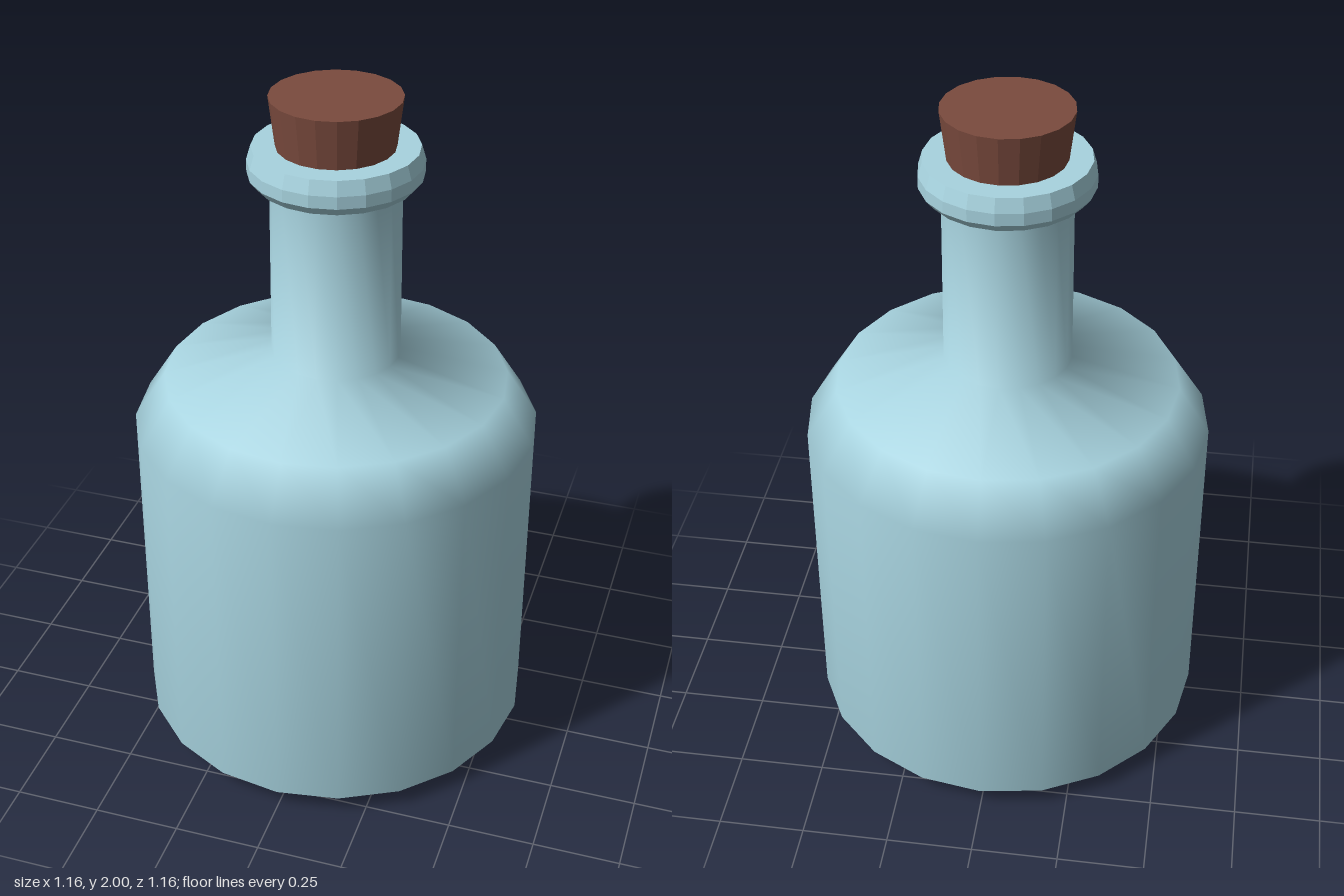
import * as THREE from 'three';

const SIDES = 20;

// Turned part from [radius, height] pairs, listed bottom to top
function turned(name, points, material) {
  const profile = points.map(([r, y]) => new THREE.Vector2(r, y));
  const mesh = new THREE.Mesh(new THREE.LatheGeometry(profile, SIDES), material);
  mesh.name = name;
  return mesh;
}

export function createModel() {
  const glass = new THREE.MeshStandardMaterial({ color: 0xa8d4e0 });
  const facetedGlass = new THREE.MeshStandardMaterial({ color: 0xa8d4e0, flatShading: true });
  const corkBrown = new THREE.MeshStandardMaterial({ color: 0x7b4b3e, flatShading: true });

  const bottle = new THREE.Group();
  bottle.name = 'corkedBottle';

  // Smooth body, sloping shoulder and neck
  bottle.add(turned('body', [
    [0.49, 0], [0.58, 0.06], [0.58, 1.02], [0.49, 1.16],
    [0.183, 1.24], [0.18, 1.75],
  ], glass));

  // Flat underside
  bottle.add(turned('base', [[0, 0], [0.49, 0]], facetedGlass));

  // Faceted lip, closed across to the cork
  bottle.add(turned('lip', [
    [0.178, 1.74], [0.22, 1.76], [0.24, 1.785], [0.24, 1.82],
    [0.228, 1.86], [0.15, 1.86],
  ], facetedGlass));

  // Tapered cork, pushed a little way into the neck
  bottle.add(turned('cork', [[0, 1.78], [0.153, 1.78], [0.18, 2], [0, 2]], corkBrown));

  return bottle;
}
